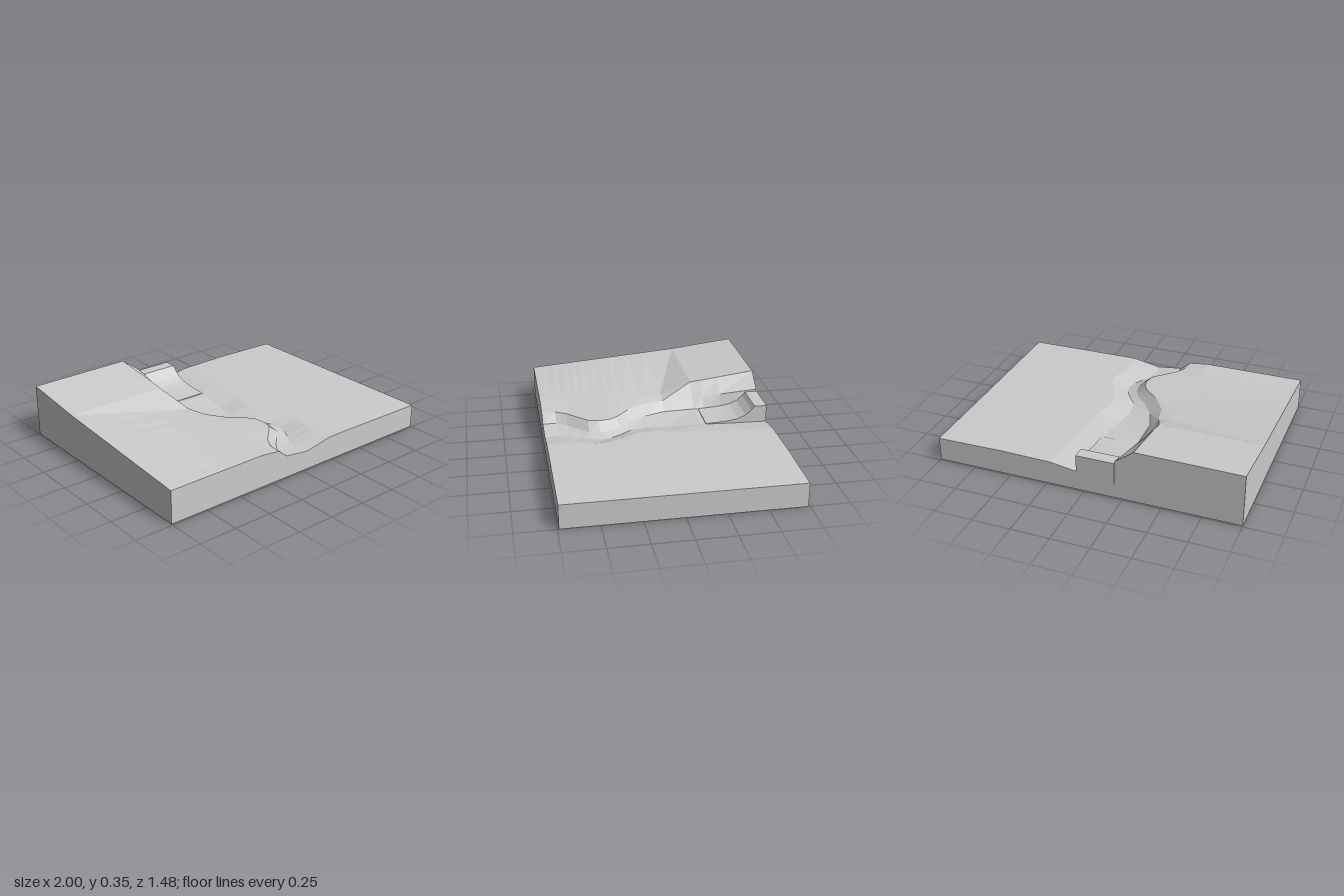
import * as THREE from 'three';

const material = new THREE.MeshStandardMaterial({ color: 0xcccccc, flatShading: true, side: THREE.DoubleSide });

// Open channel: z, bank top x, bank foot x, deepest bed x, right bank x, right shelf x
const channel = [
  [-0.09, -0.25, -0.19, 0.02, 0.17, 0.30],
  [0.05, -0.22, -0.14, 0.00, 0.13, 0.28],
  [0.17, -0.14, -0.06, 0.02, 0.16, 0.28],
  [0.25, -0.05, 0.02, 0.08, 0.20, 0.30],
  [0.31, -0.01, 0.05, 0.115, 0.23, 0.32],
  [0.38, 0.00, 0.06, 0.13, 0.25, 0.34],
  [0.45, -0.02, 0.05, 0.11, 0.25, 0.34],
  [0.51, -0.08, -0.01, 0.08, 0.23, 0.33],
  [0.58, -0.15, -0.08, 0.04, 0.22, 0.32],
  [0.65, -0.19, -0.13, 0.02, 0.22, 0.31],
  [0.74, -0.20, -0.13, 0.04, 0.22, 0.30],
];

// Cross-sections of the ground from back to front, each a list of [x, y]
function groundRows() {
  const rows = [
    { z: -0.74, p: [[-1, 0.345], [-0.32, 0.35], [-0.2, 0.26], [-0.198, 0.095], [0.05, 0.13], [0.22, 0.157], [0.55, 0.163], [1, 0.157]] },
    { z: -0.49, p: [[-1, 0.317], [-0.32, 0.319], [-0.228, 0.229], [-0.197, 0.125], [0.05, 0.135], [0.21, 0.157], [0.54, 0.163], [1, 0.157]] },
    { z: -0.37, p: [[-1, 0.303], [-0.32, 0.304], [-0.242, 0.214], [-0.196, 0.14], [0.05, 0.14], [0.2, 0.158], [0.5, 0.163], [1, 0.157]] },
    { z: -0.3, p: [[-1, 0.295], [-0.325, 0.295], [-0.25, 0.205], [-0.195, 0.147], [0.04, 0.14], [0.19, 0.158], [0.36, 0.162], [1, 0.157]] },
  ];
  for (const [z, top, foot, bed, bank, shelf] of channel) {
    const slope = 0.215 + 0.077 * (0.74 - z);
    rows.push({ z, p: [[-1, slope], [-0.33, 0.215], [top, 0.2], [foot, 0.145], [bed, 0.125], [bank, 0.16], [shelf, 0.162], [1, 0.157]] });
  }
  return rows;
}

function meshFromQuads(name, quads) {
  const positions = [];
  for (const [a, b, c, d] of quads) positions.push(...a, ...b, ...c, ...a, ...c, ...d);
  const geometry = new THREE.BufferGeometry();
  geometry.setAttribute('position', new THREE.Float32BufferAttribute(positions, 3));
  geometry.computeVertexNormals();
  const mesh = new THREE.Mesh(geometry, material);
  mesh.name = name;
  return mesh;
}

export function createModel() {
  const group = new THREE.Group();
  group.name = 'riverValley';

  const grid = groundRows().map(({ z, p }) => p.map(([x, y]) => [x, y, z]));
  const rows = grid.length, cols = grid[0].length;

  // Ground surface
  const ground = [];
  for (let r = 0; r < rows - 1; r++)
    for (let c = 0; c < cols - 1; c++)
      ground.push([grid[r][c], grid[r + 1][c], grid[r + 1][c + 1], grid[r][c + 1]]);
  group.add(meshFromQuads('ground', ground));

  // Skirt walls down to the base; the underside stays open
  const wall = (name, line) => {
    const quads = [];
    for (let i = 0; i < line.length - 1; i++) {
      const a = line[i], b = line[i + 1];
      quads.push([[a[0], 0, a[2]], [b[0], 0, b[2]], b, a]);
    }
    group.add(meshFromQuads(name, quads));
  };
  wall('frontWall', grid[rows - 1]);
  wall('backWall', [...grid[0]].reverse());
  wall('leftWall', grid.map(row => row[cols - 1]).reverse());
  wall('rightWall', grid.map(row => row[0]));

  // Weir with a curved spillway: side profile in (z, y), extruded across the channel
  const profile = [
    [-0.742, 0.092], [-0.742, 0.245], [-0.66, 0.245], [-0.64, 0.22], [-0.6, 0.187],
    [-0.55, 0.165], [-0.49, 0.155], [-0.42, 0.149], [-0.33, 0.145], [-0.33, 0.135],
    [-0.5, 0.125], [-0.65, 0.092],
  ];
  const shape = new THREE.Shape(profile.map(([z, y]) => new THREE.Vector2(z, y)));
  const weirGeometry = new THREE.ExtrudeGeometry(shape, { depth: 0.25, bevelEnabled: false });
  weirGeometry.rotateY(-Math.PI / 2).translate(0.052, 0, 0);
  const weir = new THREE.Mesh(weirGeometry, material);
  weir.name = 'weir';
  group.add(weir);

  return group;
}
